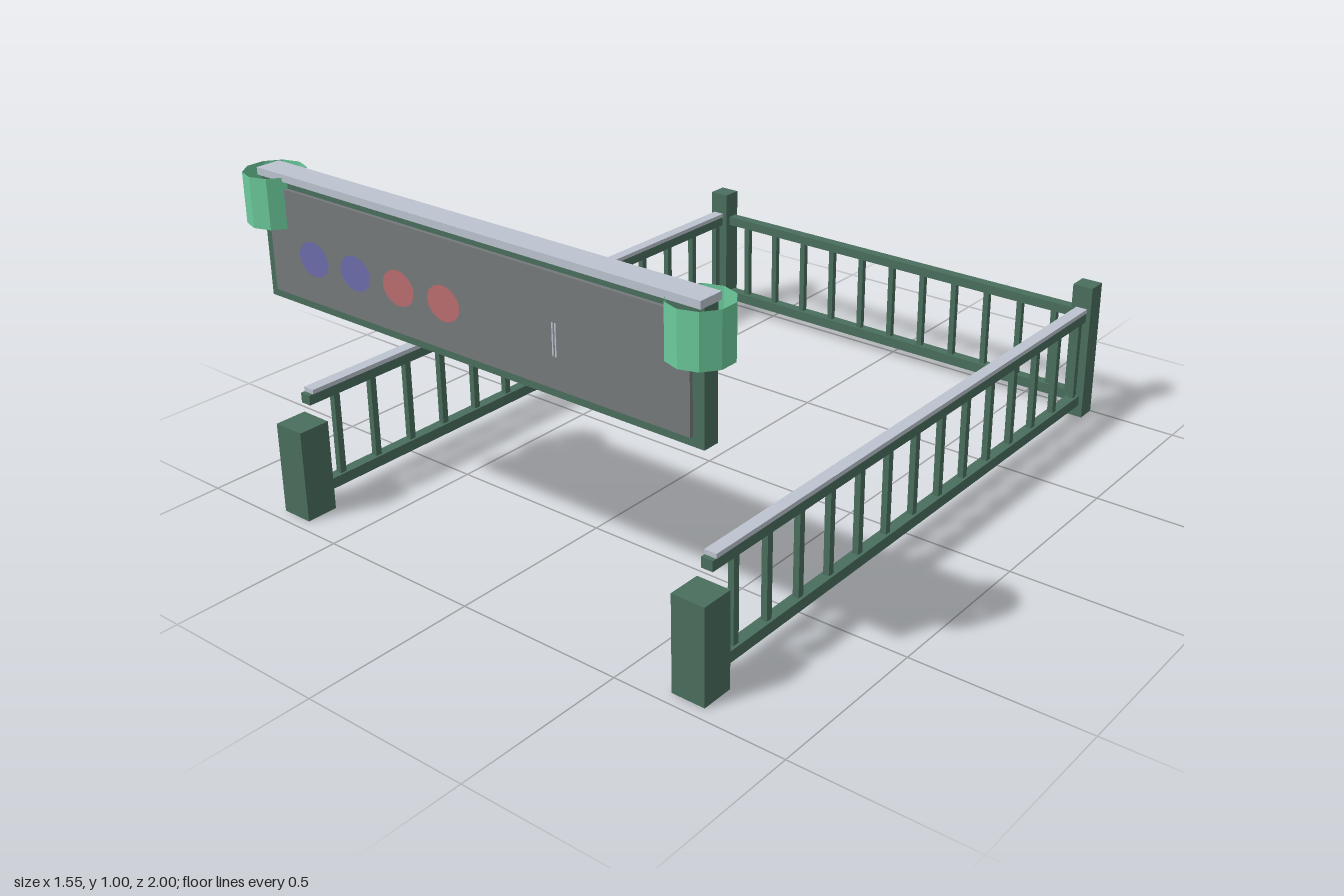
import * as THREE from 'three';

export function createModel() {
  const model = new THREE.Group();
  const mat = (name, color, extra = {}) => {
    const m = new THREE.MeshStandardMaterial({ color, ...extra });
    m.name = name;
    return m;
  };
  const green = mat('dark green', 0x4a6e5e);
  const mint = mat('mint green', 0x6ccb9c, { side: THREE.DoubleSide, flatShading: true });
  const pale = mat('pale grey', 0xbcc4cf);
  const slate = mat('slate grey', 0x75797b);
  const blue = mat('muted blue', 0x6c6cac);
  const red = mat('muted red', 0xba6c6e);

  // Box given by its minimum and maximum on each axis
  const box = (parent, name, material, [x0, x1], [y0, y1], [z0, z1]) => {
    const mesh = new THREE.Mesh(new THREE.BoxGeometry(x1 - x0, y1 - y0, z1 - z0), material);
    mesh.position.set((x0 + x1) / 2, (y0 + y1) / 2, (z0 + z1) / 2);
    mesh.name = name;
    parent.add(mesh);
    return mesh;
  };
  const around = (c, half) => [c - half, c + half];
  const group = (name, parent = model) => {
    const g = new THREE.Group();
    g.name = name;
    parent.add(g);
    return g;
  };

  const topRailY = [0.318, 0.347];
  const bottomRailY = [0.038, 0.07];
  const balusterY = [0.07, 0.318];

  // Side fences with pale caps, and the corner posts
  for (const s of [-1, 1]) {
    const side = group(s < 0 ? 'rightFence' : 'leftFence');
    const x = s * 0.697;
    box(side, 'topRail', green, around(x, 0.017), topRailY, [-0.96, 0.895]);
    box(side, 'railCap', pale, around(x, 0.018), [0.347, 0.36], [-0.94, 0.882]);
    box(side, 'bottomRail', green, around(x, 0.017), bottomRailY, [-0.96, 0.88]);
    for (let i = 0; i < 14; i++) {
      box(side, 'baluster', green, around(x, 0.009), balusterY, around(0.795 - 0.132 * i, 0.01));
    }
    box(side, 'frontPost', green, around(s * 0.695, 0.049), [0, 0.27], [0.867, 0.963]);
    box(side, 'backPost', green, around(s * 0.695, 0.032), [0, 0.43], [-1, -0.938]);
  }

  // Back fence
  const back = group('backFence');
  box(back, 'topRail', green, [-0.68, 0.68], topRailY, around(-0.972, 0.017));
  box(back, 'bottomRail', green, [-0.68, 0.68], bottomRailY, around(-0.972, 0.017));
  for (let i = -5; i <= 5; i++) {
    box(back, 'baluster', green, around(i * 0.1185, 0.009), balusterY, around(-0.972, 0.009));
  }

  // Raised sign, built around its own centre plane
  const sign = group('sign');
  sign.position.z = 0.917;
  const frameZ = around(0, 0.024);
  box(sign, 'frameBottom', green, [-0.727, 0.727], [0.65, 0.677], frameZ);
  box(sign, 'frameTop', green, [-0.727, 0.727], [0.962, 0.985], frameZ);
  for (const s of [-1, 1]) {
    box(sign, 'frameSide', green, around(s * 0.711, 0.016), [0.677, 0.962], frameZ);
  }
  box(sign, 'panel', slate, [-0.695, 0.695], [0.675, 0.965], around(0, 0.034));
  box(sign, 'signCap', pale, [-0.727, 0.727], [0.985, 1.005], around(0, 0.036));

  // Painted dots and tick marks, one set on each face of the panel
  for (const turn of [0, Math.PI]) {
    const marks = group(turn ? 'backMarks' : 'frontMarks', sign);
    marks.rotation.y = turn;
    [-0.53, -0.374, -0.217, -0.06].forEach((x, i) => {
      const dot = new THREE.Mesh(new THREE.CircleGeometry(1, 24), i < 2 ? blue : red);
      dot.scale.set(0.055, 0.047, 1);
      dot.position.set(x, 0.797, 0.036);
      dot.name = 'dot';
      marks.add(dot);
    });
    for (const x of [0.296, 0.305]) {
      box(marks, 'tick', pale, around(x, 0.002), [0.758, 0.842], [0.034, 0.036]);
    }
  }

  // Open ten-sided sleeves around the sign ends
  for (const s of [-1, 1]) {
    const sleeve = new THREE.Mesh(new THREE.CylinderGeometry(0.081, 0.081, 0.138, 10, 1, true), mint);
    sleeve.position.set(s * 0.7, 0.927, 0.002);
    sleeve.name = 'sleeve';
    sign.add(sleeve);
  }

  return model;
}
